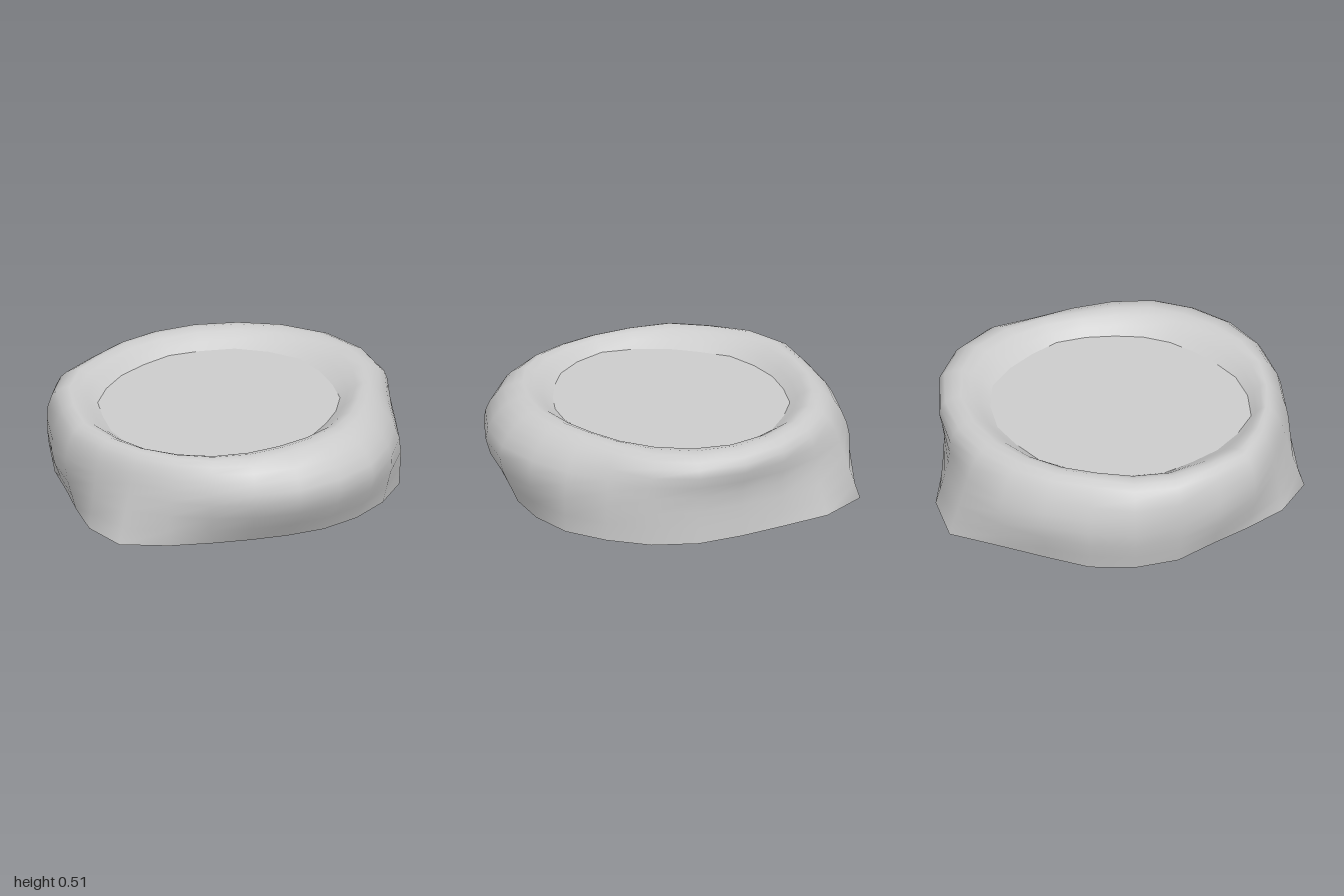
import * as THREE from 'three';

// Radii of each ring every 15 degrees, from +x towards +z
const N = 24;
const BASE = [.86, .82, .78, .77, .80, .88, .99, .95, .88, .86, .91, .93, .94, .93, .98, 1.12, 1.06, .97, .95, .97, .97, .95, .94, .90];
const BELLY = [.97, .96, .95, .92, .90, .89, .90, .91, .94, .94, .95, .98, .97, .98, 1.01, 1.03, .99, .96, .95, .97, .97, .93, .94, .95];
const SHOULDER = [.88, .88, .88, .87, .85, .84, .85, .87, .91, .90, .93, .93, .89, .90, .93, .95, .96, .98, 1.0, .99, .95, .86, .85, .86];
const CREST = [.73, .73, .74, .76, .77, .77, .78, .80, .83, .82, .83, .82, .79, .80, .81, .83, .85, .87, .88, .87, .82, .76, .72, .72];
const INNER = [.58, .58, .58, .60, .64, .67, .70, .68, .67, .66, .68, .67, .67, .67, .69, .69, .71, .71, .71, .67, .64, .63, .60, .58];

const STEPS = 12;
const FLOOR_Y = 0.43;

function polar(r, y, k) {
  const a = (k / N) * Math.PI * 2;
  return new THREE.Vector3(r * Math.cos(a), y, r * Math.sin(a));
}

// Skin running up the outer wall, over the rim and down to the hollow
function rockGeometry() {
  const pos = [], index = [];
  for (let k = 0; k < N; k++) {
    const a = (k / N) * Math.PI * 2;
    const top = 0.505 + 0.015 * Math.cos(a) ** 2 + 0.005 * Math.sin(3 * a);
    const profile = new THREE.CatmullRomCurve3([
      polar(BASE[k], 0.01, k),
      polar(BELLY[k], 0.27 + 0.02 * Math.cos(a), k),
      polar(SHOULDER[k], top - 0.065, k),
      polar(CREST[k], top, k),
      polar(INNER[k], FLOOR_Y, k),
    ]);
    for (let j = 0; j <= STEPS; j++) pos.push(...profile.getPoint(j / STEPS).toArray());
  }
  const row = STEPS + 1;
  for (let k = 0; k < N; k++) {
    for (let j = 0; j < STEPS; j++) {
      const a = k * row + j, b = ((k + 1) % N) * row + j;
      index.push(a, a + 1, b, b, a + 1, b + 1);
    }
  }
  const g = new THREE.BufferGeometry();
  g.setAttribute('position', new THREE.Float32BufferAttribute(pos, 3));
  g.setIndex(index);
  g.computeVertexNormals();
  return g;
}

// Flat cap with the outline of a ring, facing up or down
function capGeometry(radii, y, up) {
  const shape = new THREE.Shape(radii.map((r, k) => {
    const p = polar(r, 0, k);
    return new THREE.Vector2(p.x, up ? -p.z : p.z);
  }));
  const g = new THREE.ShapeGeometry(shape);
  g.rotateX(up ? -Math.PI / 2 : Math.PI / 2);
  g.translate(0, y, 0);
  return g;
}

export function createModel() {
  const group = new THREE.Group();
  group.name = 'stoneBasin';
  const material = new THREE.MeshStandardMaterial({ color: 0xcccccc });
  const add = (name, geometry) => {
    const mesh = new THREE.Mesh(geometry, material);
    mesh.name = name;
    group.add(mesh);
  };
  add('rockRim', rockGeometry());
  add('basinFloor', capGeometry(INNER, FLOOR_Y, true));
  add('underside', capGeometry(BASE, 0.01, false));
  group.position.y = -0.01;
  return group;
}
